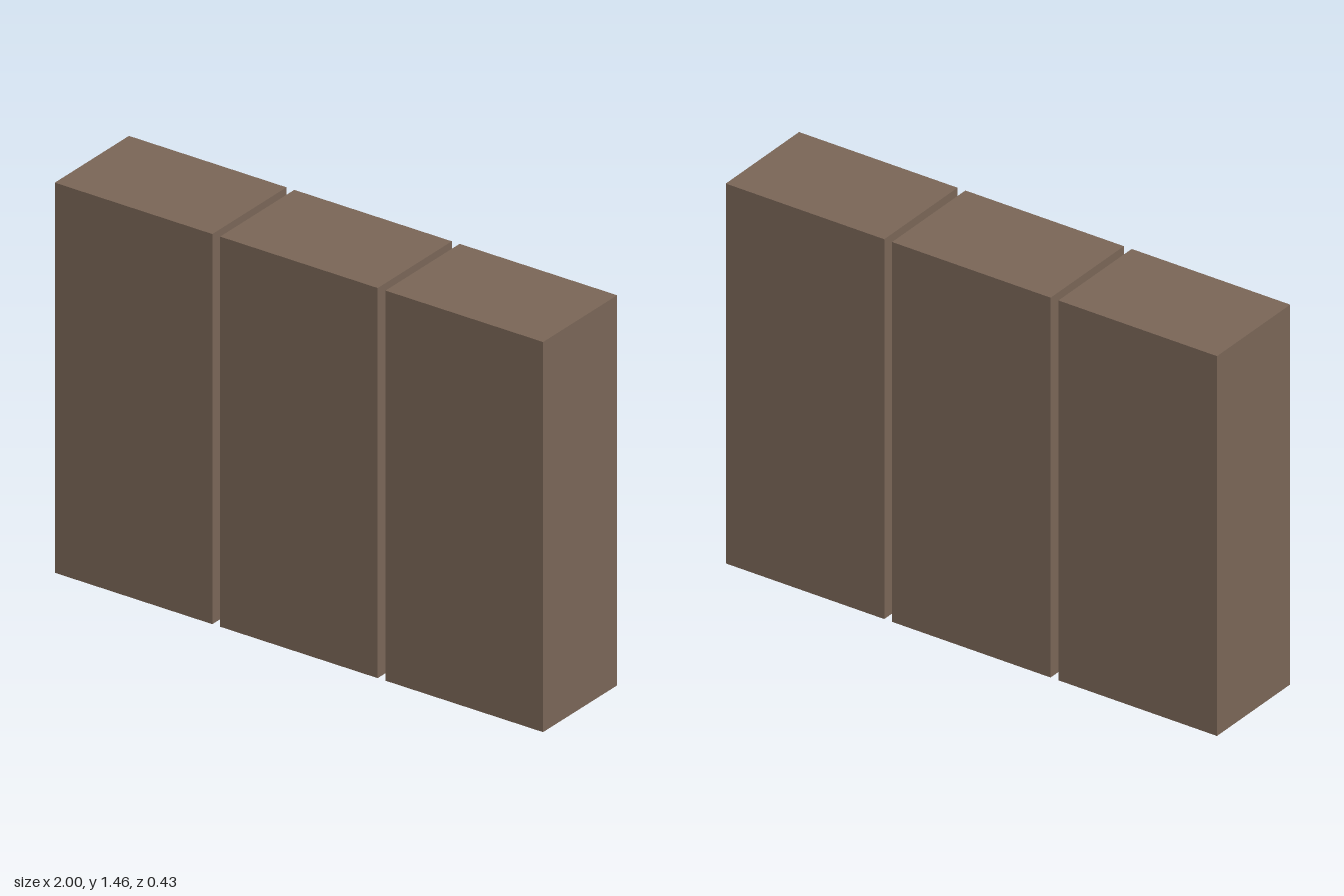
import * as THREE from 'three';

export function createModel() {
  const model = new THREE.Group();
  model.name = 'blockRow';
  const material = new THREE.MeshStandardMaterial({ color: 0x7a6657 });

  // Three equal upright blocks with narrow gaps between them
  const width = 0.645, height = 1.455, depth = 0.422, spacing = 0.677;
  const geometry = new THREE.BoxGeometry(width, height, depth);
  ['rightBlock', 'middleBlock', 'leftBlock'].forEach((name, i) => {
    const block = new THREE.Mesh(geometry, material);
    block.name = name;
    block.position.set((i - 1) * spacing, height / 2, 0);
    model.add(block);
  });

  // The whole row is turned very slightly
  model.rotation.y = 0.004;
  return model;
}
